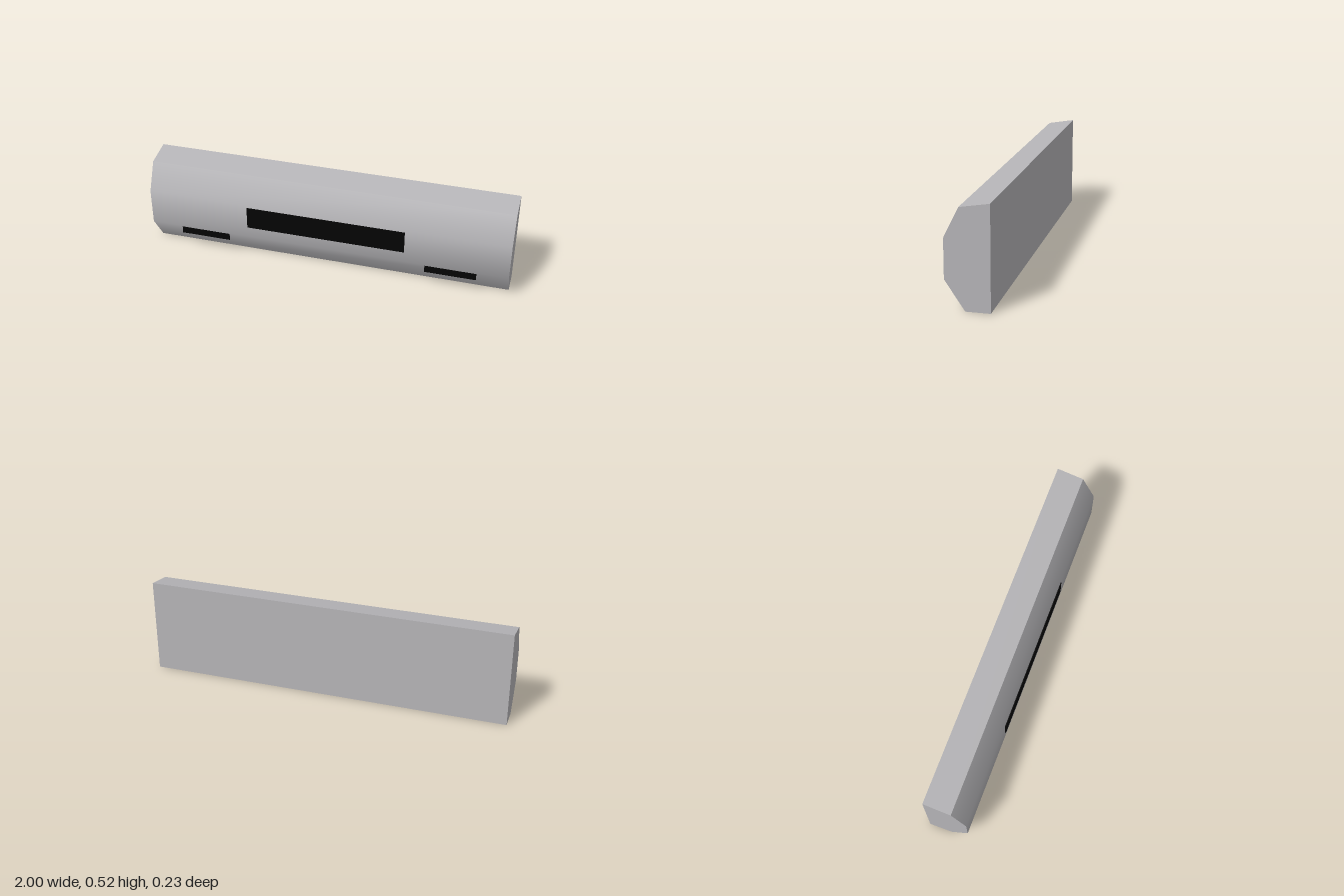
import * as THREE from 'three';
import { toCreasedNormals } from 'three/addons/utils/BufferGeometryUtils.js';

export function createModel() {
  const model = new THREE.Group();
  model.name = 'bumper';
  const grey = new THREE.MeshStandardMaterial({ name: 'grey paint', color: 0xb6b5b8 });
  const black = new THREE.MeshStandardMaterial({ name: 'black opening', color: 0x040404 });

  // Body: side profile (z, y) swept along x, smooth across the bulging front
  const profile = [
    [-0.113, 0], [0.01, 0], [0.11, 0.15], [0.11, 0.35], [0.036, 0.5], [-0.113, 0.525],
  ];
  const shape = new THREE.Shape(profile.map(([z, y]) => new THREE.Vector2(z, y)));
  const bodyGeometry = new THREE.ExtrudeGeometry(shape, { depth: 2, bevelEnabled: false });
  bodyGeometry.translate(0, 0, -1).rotateY(-Math.PI / 2);
  const body = new THREE.Mesh(
    toCreasedNormals(bodyGeometry, THREE.MathUtils.degToRad(40)),
    [grey, grey],
  );
  body.name = 'body';
  model.add(body);

  // Thin dark plates on the front
  const addPlate = (name, width, height, x, y, z) => {
    const plate = new THREE.Mesh(new THREE.BoxGeometry(width, height, 0.005), black);
    plate.name = name;
    plate.position.set(x, y, z);
    model.add(plate);
  };
  addPlate('centreGrille', 0.876, 0.126, 0, 0.275, 0.1115);
  for (const [side, sign] of [['left', 1], ['right', -1]]) {
    addPlate(`${side}Vent`, 0.278, 0.04, sign * 0.69, 0.12, 0.102);
  }
  return model;
}
